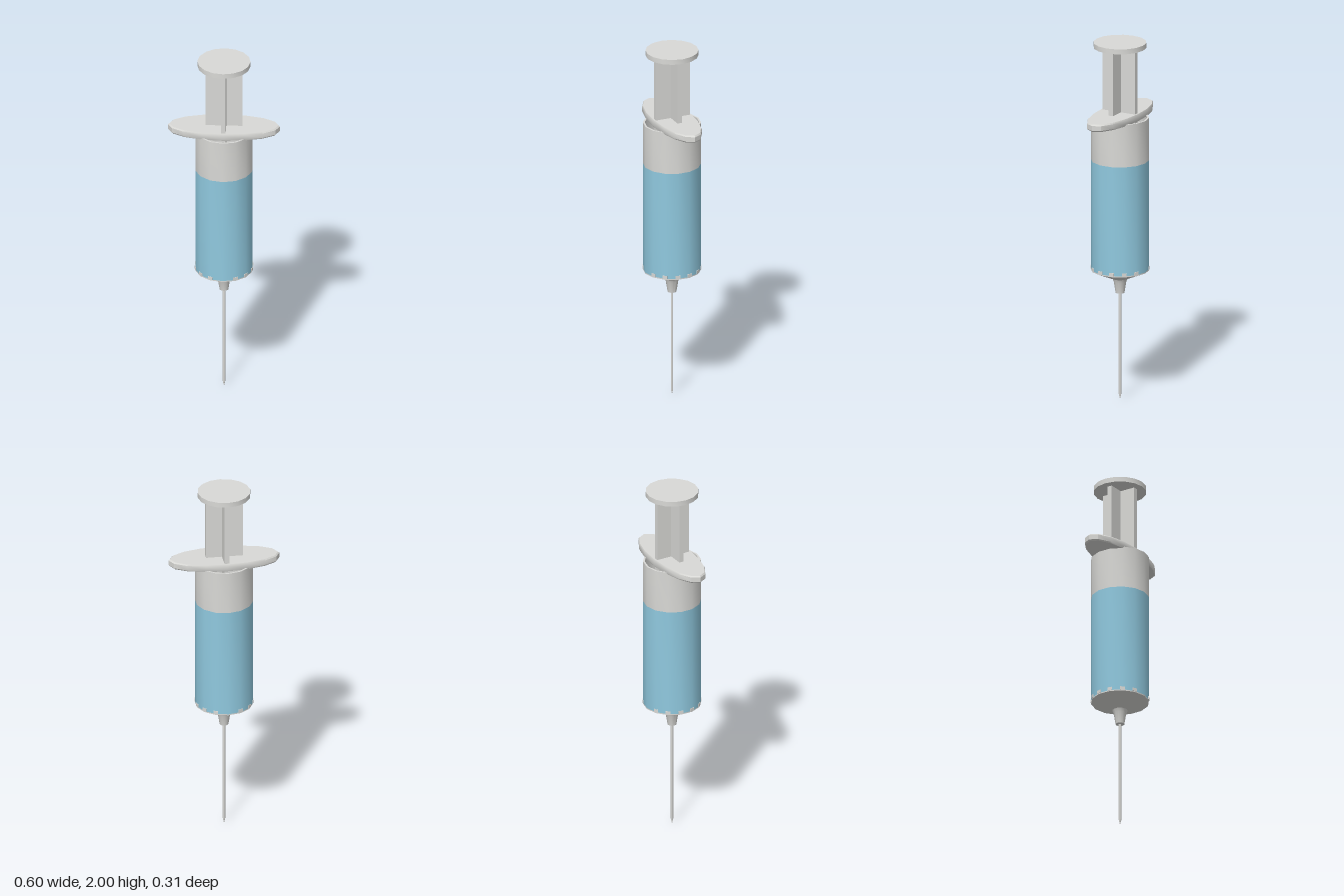
import * as THREE from 'three';
import { toCreasedNormals } from 'three/addons/utils/BufferGeometryUtils.js';

export function createModel() {
  const model = new THREE.Group();
  model.name = 'syringe';
  const plastic = new THREE.MeshStandardMaterial({ color: 0xd9d9d6 });
  plastic.name = 'pale grey plastic';
  const fluid = new THREE.MeshStandardMaterial({ color: 0x90c9df });
  fluid.name = 'light blue fluid';

  const add = (name, geometry, material = plastic) => {
    const mesh = new THREE.Mesh(geometry, material);
    mesh.name = name;
    model.add(mesh);
    return mesh;
  };
  // Turned part from [radius, height] pairs, listed upward along the outside
  const turned = (points, sides, sx = 1, sz = 1) => {
    const g = new THREE.LatheGeometry(points.map(([r, y]) => new THREE.Vector2(r, y)), sides);
    g.scale(sx, 1, sz);
    return toCreasedNormals(g, 0.55);
  };

  const R = 0.157, SIDES = 14;

  // Needle with a pointed tip
  add('needle', turned([[0, 0], [0.007, 0.03], [0.007, 0.61]], 8));

  // Nozzle and sloping shoulder
  add('nozzle', turned([[0, 0.598], [0.024, 0.598], [0.034, 0.66], [0.042, 0.678], [R, 0.727], [R, 0.733]], SIDES));

  // Filled band and hollow clear end of the barrel
  add('fluidBand', turned([[R, 0.733], [R, 1.343]], SIDES), fluid);
  add('barrelTop', turned([[R, 1.343], [R, 1.58], [0.147, 1.58], [0.147, 1.345], [0, 1.345]], SIDES));

  // Small tabs on the corners at the foot of the barrel
  for (let i = 0; i < SIDES; i++) {
    if (i % 7 === 0) continue;
    const a = (i / SIDES) * Math.PI * 2;
    const tab = add('footTab', new THREE.BoxGeometry(0.026, 0.018, 0.008));
    tab.position.set(Math.sin(a) * (R - 0.003), 0.741, Math.cos(a) * (R - 0.003));
    tab.rotation.y = a;
  }

  // Oval finger flange with bevelled edges
  add('fingerFlange', turned(
    [[0, 1.571], [0.975, 1.571], [1, 1.578], [1, 1.605], [0.975, 1.612], [0, 1.612]], 16, 0.301, 0.112));

  // Cross-shaped plunger rod
  for (const [w, d] of [[0.2, 0.026], [0.026, 0.2]]) {
    add('plungerRod', new THREE.BoxGeometry(w, 0.6, d)).position.y = 1.675;
  }

  // Thumb disc
  add('thumbDisc', turned([[0, 1.972], [0.143, 1.972], [0.143, 2], [0, 2]], 16));

  return model;
}
